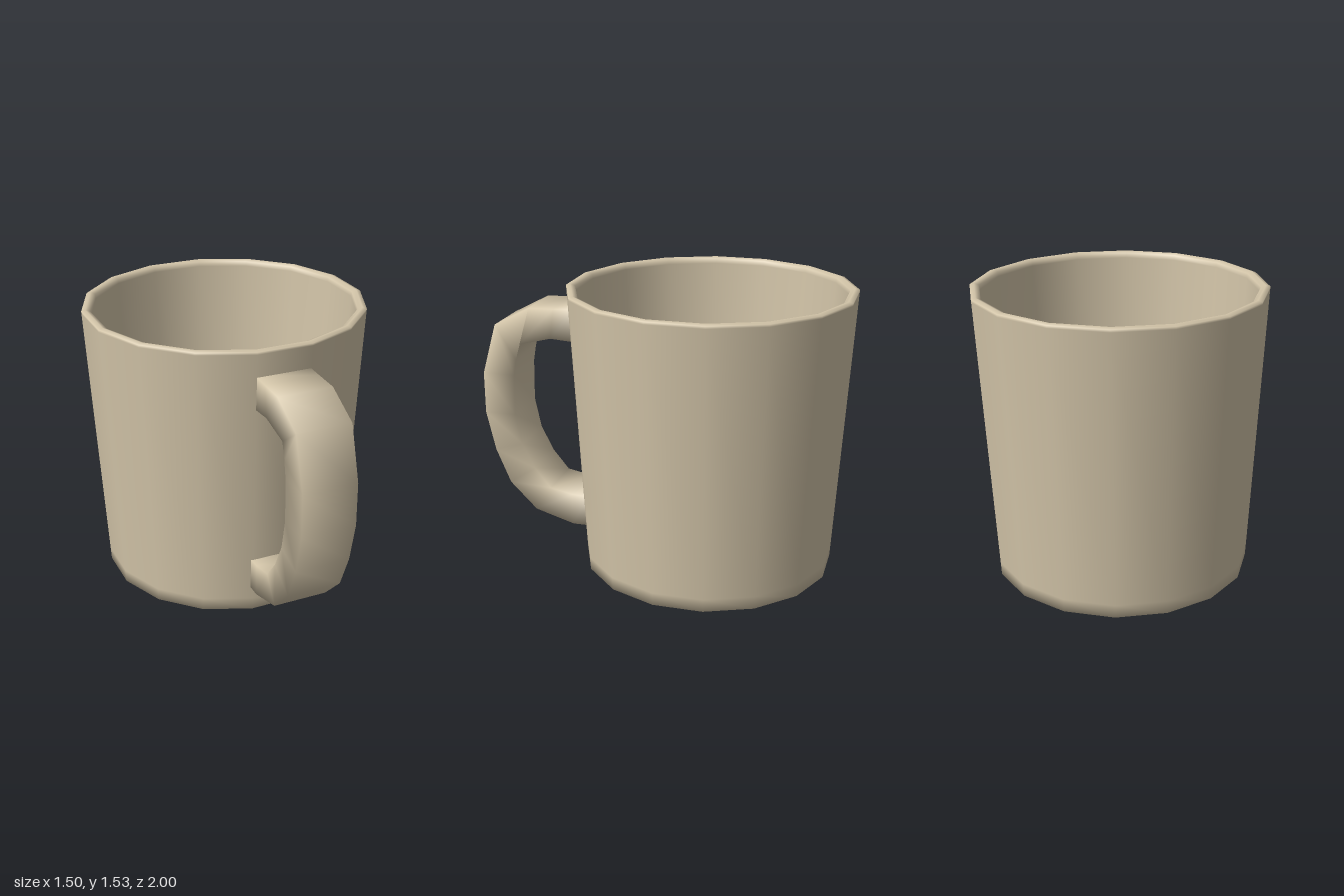
import * as THREE from 'three';

const SIDES = 16;
const CENTRE_Z = -0.25; // axis of the cup
const HALF_WIDTH = 0.147; // handle is as wide as one facet of the cup

// Cup: closed profile from the underside, up the wall, over the rim and down to the inner floor
function createCup(material) {
  const profile = [
    [0, 0], [0.62, 0], [0.683, 0], // underside
    [0.687, 0.07], [0.764, 1.515], // outer wall
    [0.765, 1.528], [0.742, 1.535], [0.717, 1.525], // rim
    [0.714, 1.5], [0.635, 0.13], // inner wall
    [0.62, 0.08], [0.56, 0.075], [0, 0.075], // inner floor
  ].map(([r, y]) => new THREE.Vector2(r, y));
  const geometry = new THREE.LatheGeometry(profile, SIDES, Math.PI / SIDES);
  const cup = new THREE.Mesh(geometry, material);
  cup.name = 'cup';
  cup.position.z = CENTRE_Z;
  return cup;
}

// Handle: rectangular cross-sections, each given as outer z, y and inner z, y
function createHandle(material) {
  const sections = [
    [0.465, 1.395, 0.455, 1.215],
    [0.58, 1.39, 0.6, 1.225],
    [0.72, 1.385, 0.78, 1.18],
    [0.92, 1.28, 0.805, 1.09],
    [1.0, 1.0, 0.82, 1.0],
    [1.0, 0.77, 0.825, 0.77],
    [0.95, 0.55, 0.79, 0.6],
    [0.87, 0.36, 0.72, 0.46],
    [0.72, 0.21, 0.63, 0.35],
    [0.5, 0.145, 0.5, 0.325],
    [0.4, 0.145, 0.41, 0.32],
  ];
  const positions = [];
  const index = [];
  sections.forEach(([oz, oy, iz, iy], i) => {
    positions.push(-HALF_WIDTH, oy, oz, HALF_WIDTH, oy, oz);
    positions.push(HALF_WIDTH, iy, iz, -HALF_WIDTH, iy, iz);
    if (i === sections.length - 1) return;
    for (let k = 0; k < 4; k++) {
      const a = i * 4 + k;
      const b = i * 4 + (k + 1) % 4;
      index.push(a, a + 4, b + 4, a, b + 4, b);
    }
  });
  const geometry = new THREE.BufferGeometry();
  geometry.setAttribute('position', new THREE.Float32BufferAttribute(positions, 3));
  geometry.setIndex(index);
  geometry.computeVertexNormals(); // shared corners give soft edges
  const handle = new THREE.Mesh(geometry, material);
  handle.name = 'handle';
  return handle;
}

export function createModel() {
  const material = new THREE.MeshStandardMaterial({ color: 0xd2c4a8 });
  const mug = new THREE.Group();
  mug.name = 'mug';
  mug.add(createCup(material), createHandle(material));
  return mug;
}
